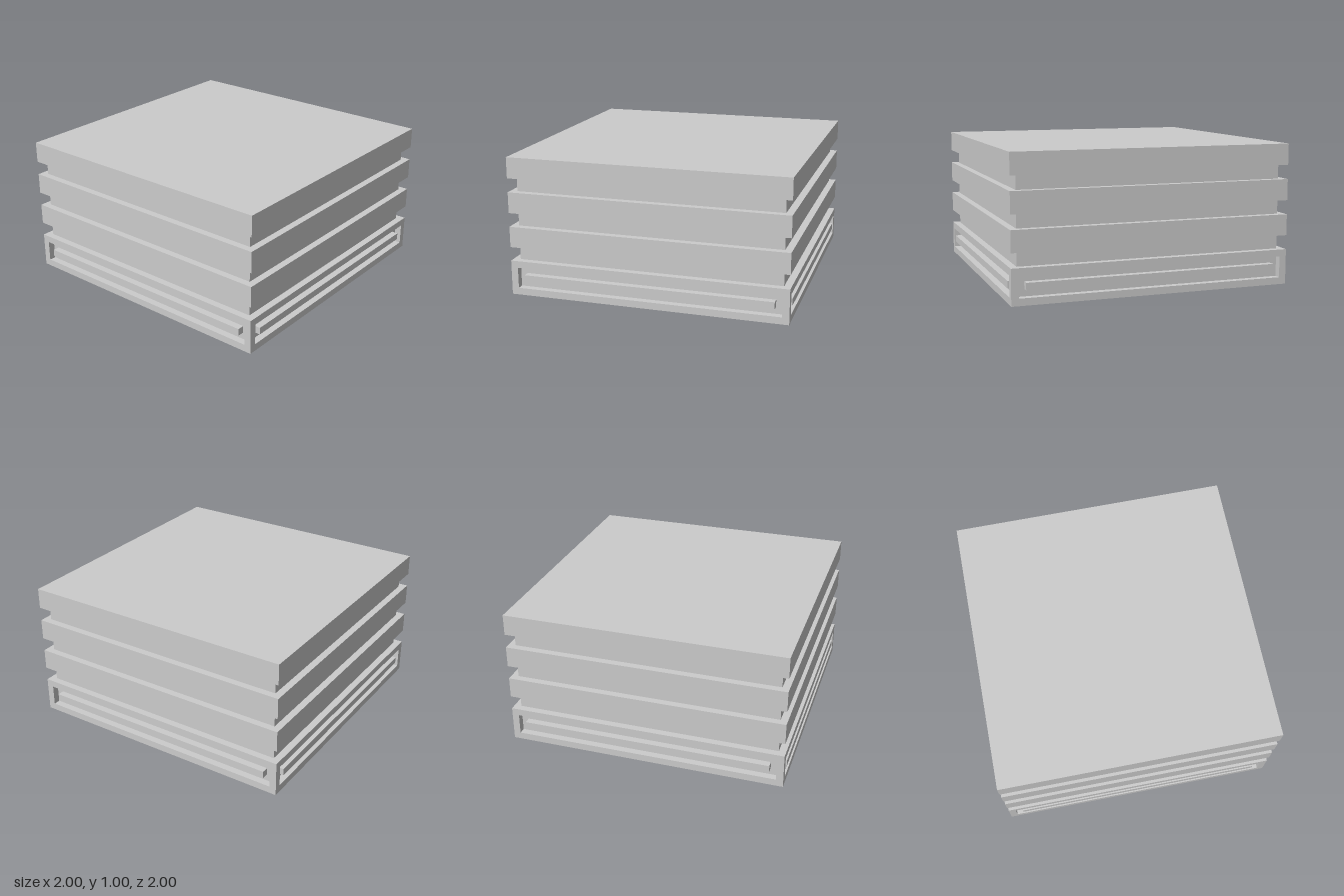
import * as THREE from 'three';

export function createModel() {
  const model = new THREE.Group();
  model.name = 'bandedBlock';
  const material = new THREE.MeshStandardMaterial({ color: 0xcccccc, flatShading: true });

  // Box spanning y0..y1, centred on (x, z)
  function box(name, width, y0, y1, depth, x = 0, z = 0, parent = model) {
    const mesh = new THREE.Mesh(new THREE.BoxGeometry(width, y1 - y0, depth), material);
    mesh.name = name;
    mesh.position.set(x, (y0 + y1) / 2, z);
    parent.add(mesh);
  }

  // Inset core: back of the base recesses and the grooves between bands
  box('core', 1.9, 0.05, 0.85, 1.9);

  // Overhanging bands and the top slab
  box('lowerBand', 2, 0.35, 0.5, 2);
  box('upperBand', 2, 0.6, 0.75, 2);
  box('topSlab', 2, 0.85, 1, 2);

  // Base frame: two plates joined by corner posts
  box('bottomPlate', 2, 0, 0.05, 2);
  box('baseTopPlate', 2, 0.2, 0.25, 2);
  for (const x of [-0.975, 0.975]) {
    for (const z of [-0.975, 0.975]) box('cornerPost', 0.05, 0.05, 0.2, 0.05, x, z);
  }

  // One long bar in the recess on each side, flush with the frame
  for (let i = 0; i < 4; i++) {
    const side = new THREE.Group();
    side.name = ['front', 'left', 'back', 'right'][i] + 'Side';
    side.rotation.y = i * Math.PI / 2;
    box('recessBar', 1.8, 0.1, 0.15, 0.05, 0, 0.975, side);
    model.add(side);
  }

  return model;
}
